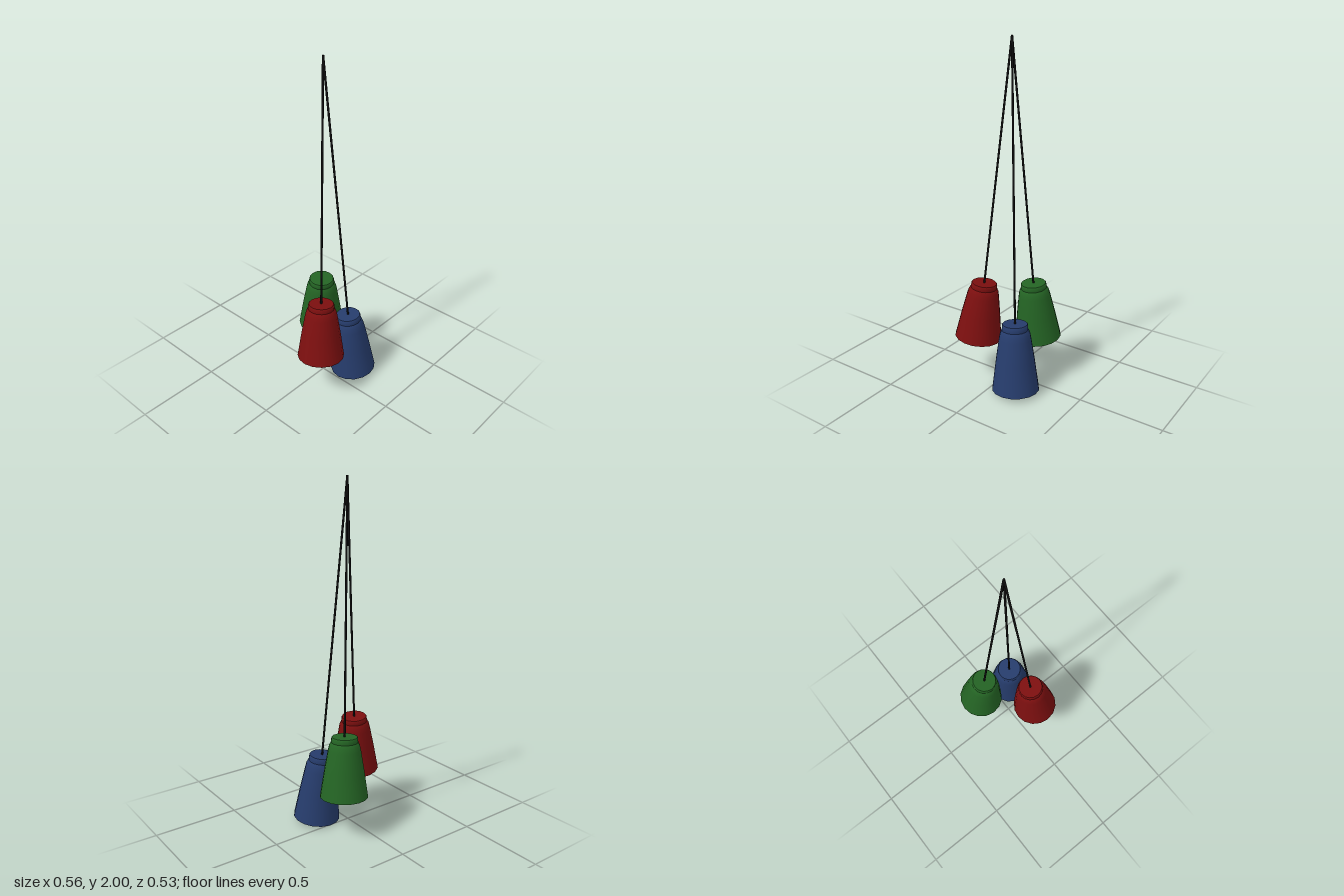
import * as THREE from 'three';
import { toCreasedNormals } from 'three/addons/utils/BufferGeometryUtils.js';

const APEX = new THREE.Vector3(0.014, 2, -0.015);
const UP = new THREE.Vector3(0, 1, 0);

function material(name, color) {
  const m = new THREE.MeshStandardMaterial({ color });
  m.name = name;
  return m;
}

// Closed 16-sided solid of revolution; y runs down from the top of the lamp
function turned(points, stretch) {
  const profile = points.map(([r, y]) => new THREE.Vector2(r, y * stretch));
  return toCreasedNormals(new THREE.LatheGeometry(profile, 16), 0.6);
}

const SHADE = [
  [0, -0.345], [0.138, -0.345], [0.115, -0.195], [0.094, -0.075],
  [0.088, -0.05], [0.08, -0.034], [0.074, -0.027], [0, -0.027],
];
const CAP = [[0, -0.03], [0.076, -0.03], [0.077, -0.022], [0.075, -0.004], [0.072, 0], [0, 0]];

// One lamp hanging in line with its own cord
function pendant(name, top, length, shadeMaterial, cordMaterial) {
  const lamp = new THREE.Group();
  lamp.name = name;
  const axis = APEX.clone().sub(top);
  const cordLength = axis.length();
  lamp.position.copy(top);
  lamp.quaternion.setFromUnitVectors(UP, axis.normalize());

  const stretch = length / 0.345;
  const shade = new THREE.Mesh(turned(SHADE, stretch), shadeMaterial);
  shade.name = 'shade';
  const cap = new THREE.Mesh(turned(CAP, stretch), shadeMaterial);
  cap.name = 'cap';
  const cord = new THREE.Mesh(new THREE.CylinderGeometry(0.006, 0.006, cordLength, 8), cordMaterial);
  cord.name = 'cord';
  cord.position.y = cordLength / 2;
  lamp.add(shade, cap, cord);
  return lamp;
}

export function createModel() {
  const model = new THREE.Group();
  model.name = 'pendantLampCluster';
  const black = material('black cord', 0x111111);
  const lamps = [
    ['redLamp', [-0.11, 0.608, 0.084], 0.345, material('dark red', 0x7c0f0f)],
    ['greenLamp', [0.104, 0.59, -0.109], 0.348, material('dark green', 0x246424)],
    ['blueLamp', [0.115, 0.414, 0.098], 0.4, material('navy blue', 0x263c6c)],
  ];
  for (const [name, top, length, colour] of lamps) {
    model.add(pendant(name, new THREE.Vector3(...top), length, colour, black));
  }
  return model;
}
